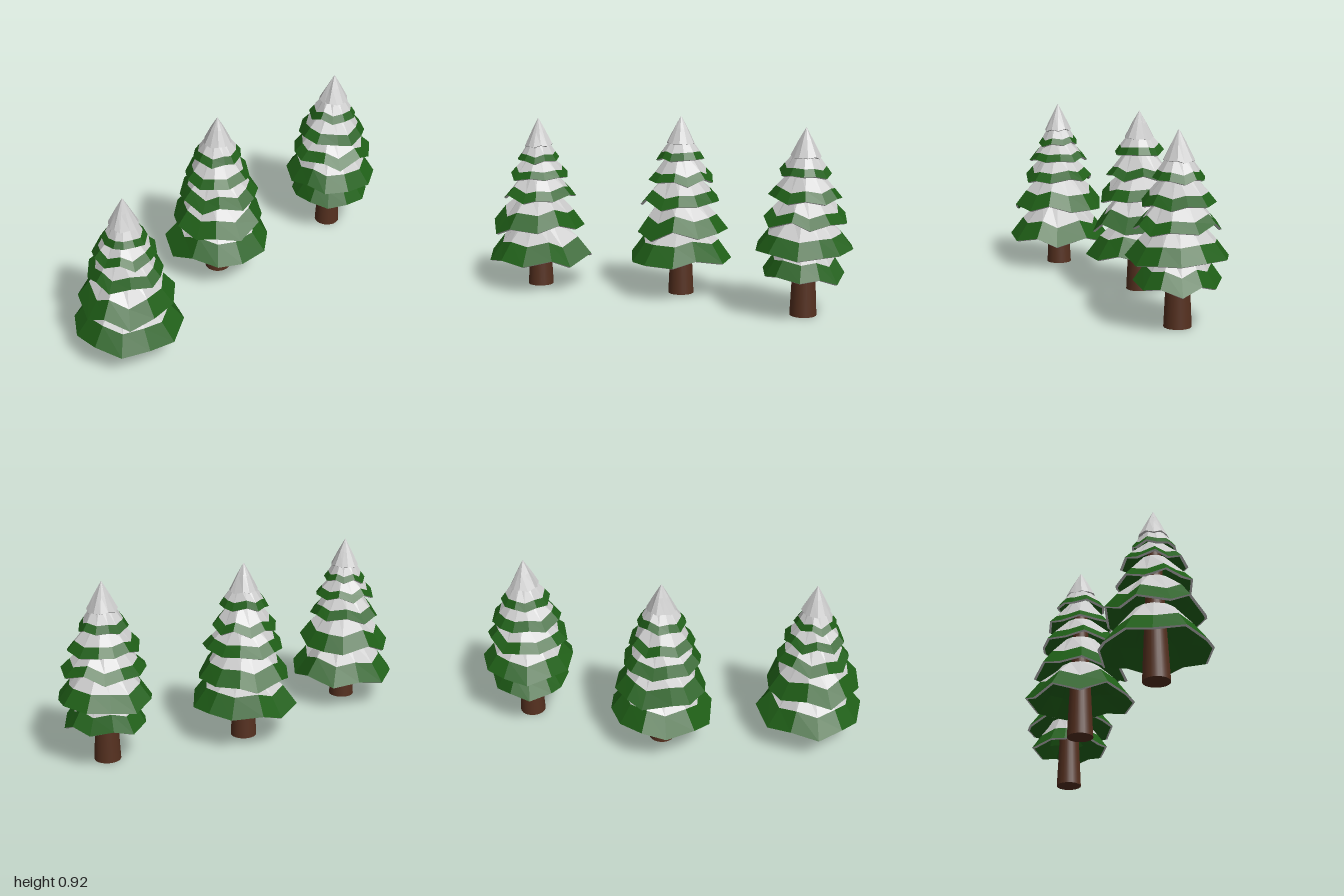
import * as THREE from 'three';

const snowMat = new THREE.MeshStandardMaterial({ color: 0xcccccc, flatShading: true });
const greenMat = new THREE.MeshStandardMaterial({ color: 0x1f5f17, flatShading: true });
const barkMat = new THREE.MeshStandardMaterial({ color: 0x55301f });
const SIDES = 12;

// small seeded generator, 0..1
function seeded(seed) {
  let s = seed;
  return () => (s = (s * 16807) % 2147483647) / 2147483647;
}

// faceted skin over closed rings listed from top to bottom
function skin(rings) {
  const pos = [];
  for (let k = 0; k < rings.length - 1; k++) {
    for (let i = 0; i < SIDES; i++) {
      const j = (i + 1) % SIDES;
      const a = rings[k][i], b = rings[k + 1][i], c = rings[k + 1][j], d = rings[k][j];
      for (const p of [a, b, c, a, c, d]) pos.push(p.x, p.y, p.z);
    }
  }
  const g = new THREE.BufferGeometry();
  g.setAttribute('position', new THREE.Float32BufferAttribute(pos, 3));
  g.computeVertexNormals();
  return g;
}

function part(name, geometry, material) {
  const m = new THREE.Mesh(geometry, material);
  m.name = name;
  return m;
}

// one skirt of branches: snow above, green hem, grey lip, hollow green underside
function makeTier(name, radius, rimY, hem, hemRadius, topRadius, topY, rand) {
  const turn = rand() * Math.PI;
  const cols = Array.from({ length: SIDES }, (_, i) => ({
    a: turn + ((i + (rand() - 0.5) * 0.3) / SIDES) * Math.PI * 2,
    r: 0.94 + rand() * 0.08,
    dy: ((i % 2 ? 1 : -1) * 0.4 + (rand() - 0.5)) * 0.15 * radius,
  }));
  const ring = (r, y, wobble) => cols.map(({ a, r: f, dy }) => {
    const rr = r * (1 + (f - 1) * wobble);
    return new THREE.Vector3(Math.sin(a) * rr, y + dy * wobble, Math.cos(a) * rr);
  });
  const top = ring(topRadius, topY, 0);
  const snowLine = ring(hemRadius, rimY + hem, 0.8);
  const rim = ring(radius, rimY, 1);
  const lip = ring(radius - 0.012, rimY - 0.005, 1);
  const inner = ring(hemRadius - 0.014, rimY + hem - 0.012, 0.8);
  const innerTop = ring(Math.max(topRadius - 0.012, 0.001), topY - 0.012, 0);
  const g = new THREE.Group();
  g.name = name;
  g.add(part('snow', skin([top, snowLine]), snowMat));
  g.add(part('hem', skin([snowLine, rim]), name === 'cap' ? snowMat : greenMat));
  g.add(part('lip', skin([rim, lip]), snowMat));
  g.add(part('underside', skin([lip, inner, innerTop]), greenMat));
  return g;
}

// tiers: [rim radius, rim height, hem height], bottom to top; the last is the snowy cap
function makeTree({ name, x, z, height, seed, tiers }) {
  const rand = seeded(seed);
  const tree = new THREE.Group();
  tree.name = name;
  tree.position.set(x, 0, z);

  const trunkTop = tiers[5][1] + 0.02;
  const trunk = part('trunk', new THREE.CylinderGeometry(0.028, 0.066, trunkTop, 24), barkMat);
  trunk.position.y = trunkTop / 2;
  tree.add(trunk);

  tiers.forEach(([r, y, hem], i) => {
    if (i === tiers.length - 1) {
      tree.add(makeTier('cap', r, y, hem, r * 0.48, 0.001, height, rand));
    } else {
      const next = tiers[i + 1];
      const topRadius = Math.max(0.045, next[0] * 0.42);
      tree.add(makeTier('tier' + (i + 1), r, y, hem, r * (0.83 - hem), topRadius, next[1] + 0.03, rand));
    }
  });
  return tree;
}

export function createModel() {
  const model = new THREE.Group();
  model.name = 'snowyTrees';
  model.add(makeTree({
    name: 'rightTree', x: -0.72, z: 0.04, height: 0.885, seed: 4711,
    tiers: [[0.277, 0.155, 0.09], [0.242, 0.32, 0.08], [0.19, 0.475, 0.045],
      [0.158, 0.585, 0.035], [0.112, 0.67, 0.03], [0.075, 0.745, 0.075]],
  }));
  model.add(makeTree({
    name: 'middleTree', x: 0.042, z: -0.068, height: 0.92, seed: 9203,
    tiers: [[0.275, 0.185, 0.095], [0.24, 0.34, 0.075], [0.208, 0.485, 0.05],
      [0.17, 0.595, 0.04], [0.126, 0.71, 0.035], [0.075, 0.785, 0.075]],
  }));
  model.add(makeTree({
    name: 'leftTree', x: 0.755, z: 0.105, height: 0.92, seed: 5557,
    tiers: [[0.205, 0.21, 0.075], [0.24, 0.335, 0.075], [0.21, 0.48, 0.045],
      [0.178, 0.59, 0.045], [0.126, 0.7, 0.035], [0.075, 0.78, 0.075]],
  }));
  return model;
}
